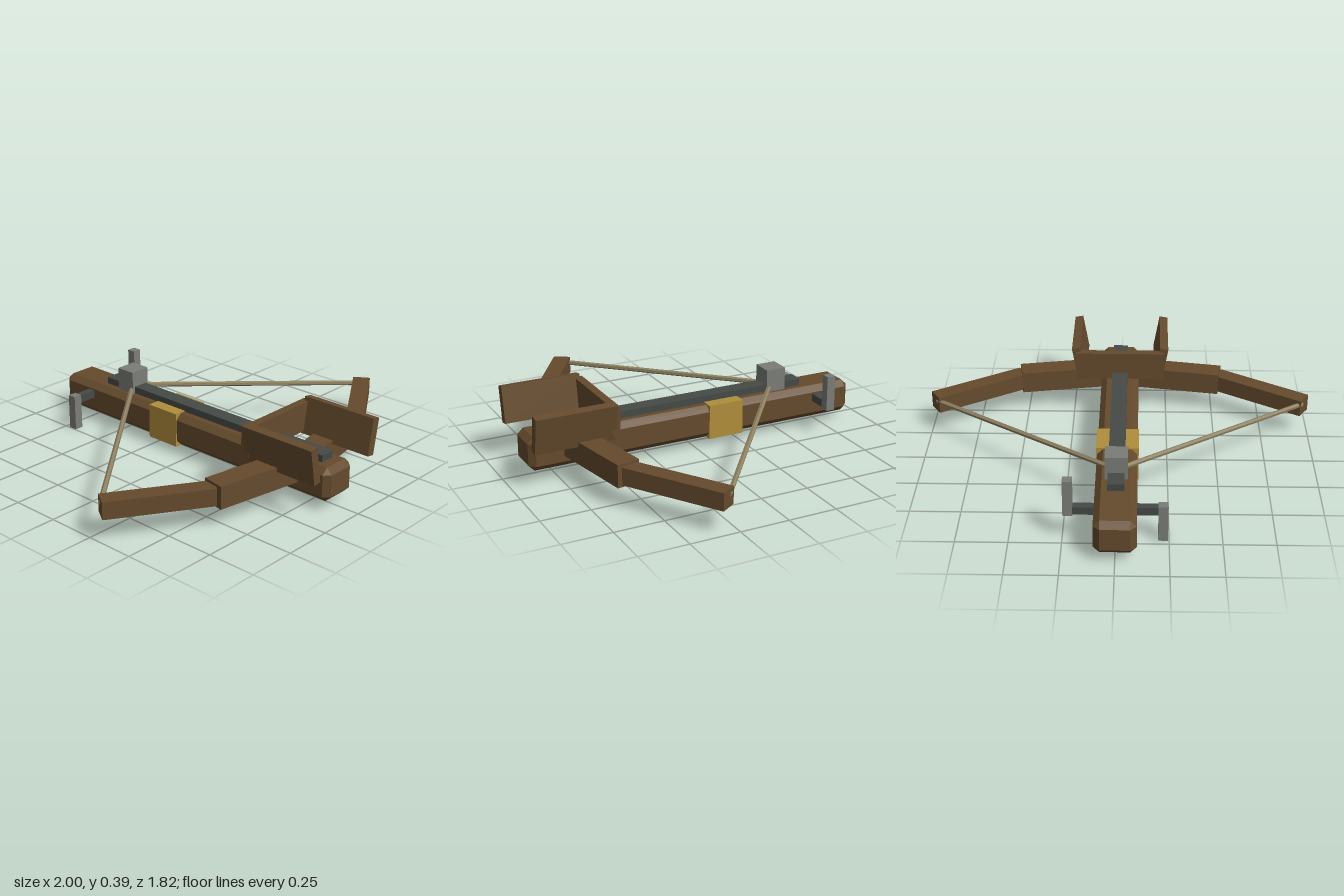
import * as THREE from 'three';
import { ConvexGeometry } from 'three/addons/geometries/ConvexGeometry.js';

const flat = (name, color) => {
  const m = new THREE.MeshStandardMaterial({ color });
  m.name = name;
  return m;
};

// Box with every edge cut at 45 degrees
function chamferBox(w, h, d, c) {
  const points = [];
  for (const x of [-1, 1]) for (const y of [-1, 1]) for (const z of [-1, 1]) {
    for (let axis = 0; axis < 3; axis++) {
      const cut = [c, c, c];
      cut[axis] = 0;
      points.push(new THREE.Vector3(x * (w / 2 - cut[0]), y * (h / 2 - cut[1]), z * (d / 2 - cut[2])));
    }
  }
  return new ConvexGeometry(points);
}

export function createModel() {
  const wood = flat('wood', 0x654b2d);
  const brass = flat('brass', 0xb08d3a);
  const iron = flat('dark iron', 0x454a46);
  const steel = flat('steel', 0x7a7d77);
  const cord = flat('cord', 0x8f8262);
  const model = new THREE.Group();
  model.name = 'crossbow';

  const add = (name, geometry, material, x, y, z) => {
    const mesh = new THREE.Mesh(geometry, material);
    mesh.name = name;
    mesh.position.set(x, y, z);
    model.add(mesh);
    return mesh;
  };
  const box = (name, material, w, h, d, x, y, z) =>
    add(name, new THREE.BoxGeometry(w, h, d), material, x, y, z);

  // Horizontal beam between two points given as [x, z]
  const limb = (name, a, b, height, width) => {
    const dx = b[0] - a[0], dz = b[1] - a[1];
    const mesh = box(name, wood, Math.hypot(dx, dz), height, width,
      (a[0] + b[0]) / 2, 0.162, (a[1] + b[1]) / 2);
    mesh.rotation.y = Math.atan2(-dz, dx);
  };

  // Stock, bolt rail, brass band and nut
  add('stock', chamferBox(0.2, 0.172, 1.8, 0.03), wood, 0, 0.131, -0.01);
  box('rail', iron, 0.08, 0.05, 1.445, 0, 0.228, 0.087);
  box('band', brass, 0.21, 0.18, 0.19, 0, 0.132, -0.165);
  box('nut', steel, 0.11, 0.125, 0.107, 0, 0.273, -0.483);

  // Winch axle
  box('crankAxle', iron, 0.45, 0.04, 0.04, 0, 0.16, -0.7);

  // Back plate of the guard
  box('guardBack', wood, 0.47, 0.15, 0.042, 0, 0.29, 0.5);

  for (const side of [-1, 1]) {
    const label = side > 0 ? 'left' : 'right';

    // Bow limbs in two angled sections
    limb(label + 'InnerLimb', [0, 0.673], [side * 0.54, 0.578], 0.115, 0.118);
    limb(label + 'OuterLimb', [side * 0.531, 0.579], [side * 0.974, 0.297], 0.088, 0.09);

    // Leaning guard plate
    const plate = box(label + 'GuardPlate', wood, 0.044, 0.187, 0.41, side * 0.22, 0.291, 0.705);
    plate.rotation.z = -side * THREE.MathUtils.degToRad(10);

    // Crank handle, up on one side and down on the other
    box(label + 'CrankHandle', steel, 0.046, 0.185, 0.046, side * 0.222, 0.16 + side * 0.067, -0.7);

    // Bowstring half
    const tip = new THREE.Vector3(side * 0.962, 0.176, 0.287);
    const hook = new THREE.Vector3(side * 0.03, 0.238, -0.46);
    const span = hook.clone().sub(tip);
    const mid = tip.clone().add(hook).multiplyScalar(0.5);
    const geometry = new THREE.CylinderGeometry(0.013, 0.013, span.length(), 6).toNonIndexed();
    geometry.computeVertexNormals();
    const string = add(label + 'String', geometry, cord, mid.x, mid.y, mid.z);
    string.quaternion.setFromUnitVectors(new THREE.Vector3(0, 1, 0), span.normalize());
  }
  return model;
}
